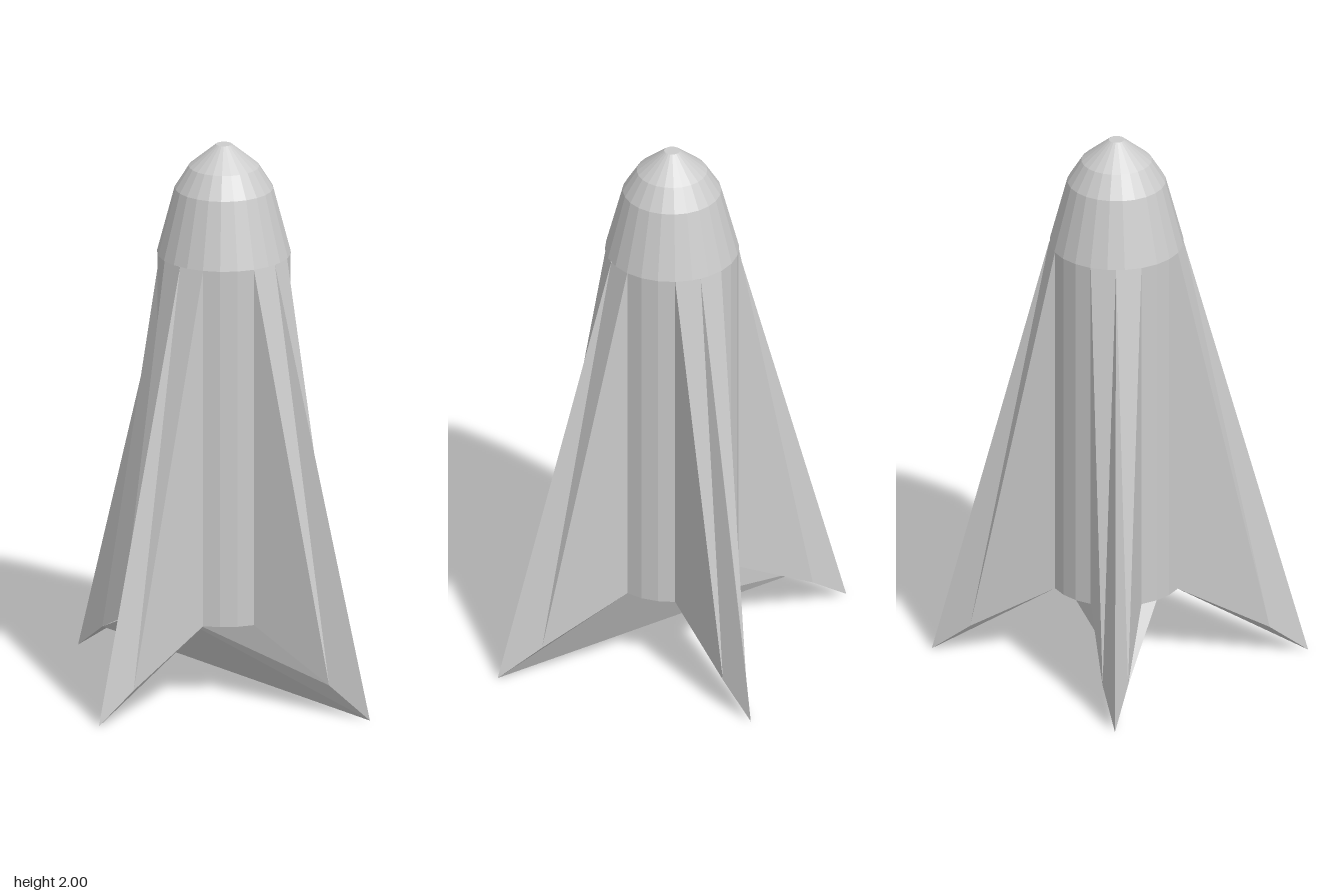
import * as THREE from 'three';

const material = new THREE.MeshStandardMaterial({
  color: 0xcccccc, flatShading: true, side: THREE.DoubleSide,
});
const RADIUS = 0.235, BASE = 0.28, SHOULDER = 1.6, CENTRE_X = 0.012;
const rad = THREE.MathUtils.degToRad;
const point = (angle, r, y) =>
  new THREE.Vector3(Math.sin(rad(angle)) * r, y, Math.cos(rad(angle)) * r);

// Flat mesh from a list of triangles, each three points
function triangleMesh(name, triangles) {
  const geometry = new THREE.BufferGeometry().setFromPoints(triangles.flat());
  geometry.computeVertexNormals();
  const mesh = new THREE.Mesh(geometry, material);
  mesh.name = name;
  return mesh;
}

// Lower outline of one fin followed by two points of the body arc after it
function finOutline(k) {
  const a = k * 90;
  const shift = [0, -CENTRE_X, 0, CENTRE_X][k];
  const mid = (side) => {
    const p = new THREE.Vector3(side * 0.045, 0.11, 0.53 + shift);
    return p.applyAxisAngle(new THREE.Vector3(0, 1, 0), rad(a));
  };
  return [
    point(a - 22.5, RADIUS, BASE), mid(-1),
    point(a, (k % 2 ? 0.666 : 0.682) + shift, 0), mid(1),
    point(a + 22.5, RADIUS, BASE),
    point(a + 37.5, RADIUS, BASE), point(a + 52.5, RADIUS, BASE),
  ];
}

export function createModel() {
  const group = new THREE.Group();
  group.name = 'rocket';
  const outline = [0, 1, 2, 3].flatMap(finOutline);

  // Nose cone with a small flat cap
  const profile = [[0.238, SHOULDER], [0.175, 1.84], [0.125, 1.92], [0.028, 2], [0, 2]]
    .map(([x, y]) => new THREE.Vector2(x, y));
  const nose = new THREE.Mesh(new THREE.LatheGeometry(profile, 24, rad(7.5)), material);
  nose.name = 'noseCone';
  group.add(nose);

  for (let k = 0; k < 4; k++) {
    // Body panel between two fins
    const panel = new THREE.Mesh(new THREE.CylinderGeometry(
      RADIUS, RADIUS, SHOULDER - BASE, 3, 1, true, rad(k * 90 + 22.5), rad(45)), material);
    panel.position.y = (SHOULDER + BASE) / 2;
    panel.name = 'bodyPanel';
    group.add(panel);

    // Fin: two tapered sides meeting on a sharp sloping edge
    const [rootA, midA, tip, midB, rootB] = outline.slice(k * 7, k * 7 + 5);
    const topA = rootA.clone().setY(SHOULDER);
    const topB = rootB.clone().setY(SHOULDER);
    const apex = point(k * 90, 0.238, SHOULDER);
    group.add(triangleMesh('fin', [
      [rootA, midA, topA], [topA, midA, apex], [midA, tip, apex],
      [tip, midB, apex], [midB, topB, apex], [midB, rootB, topB],
      [topA, apex, topB],
    ]));
  }

  // Underside: sheets running from the front fin tip to the back fin
  const range = (from, to) => Array.from({ length: to - from + 1 }, (_, i) => from + i);
  const patches = [
    [2, 3, 4], [17, 2, 4], [17, 4, 5], [17, 5, 6], [17, 6, 7],
    range(7, 17), [17, 18, 19], [2, 17, 19], [...range(19, 27), 0, 1, 2],
  ];
  const underside = patches.flatMap((ids) => {
    const flat = ids.map((i) => new THREE.Vector2(outline[i].x, outline[i].z));
    return THREE.ShapeUtils.triangulateShape(flat, []).map((t) => {
      const [a, b, c] = t.map((j) => outline[ids[j]]);
      // Keep every face pointing down
      const up = new THREE.Vector3().crossVectors(b.clone().sub(a), c.clone().sub(a)).y > 0;
      return up ? [a, c, b] : [a, b, c];
    });
  });
  group.add(triangleMesh('underside', underside));

  group.children.forEach((part) => { part.position.x += CENTRE_X; });
  return group;
}
